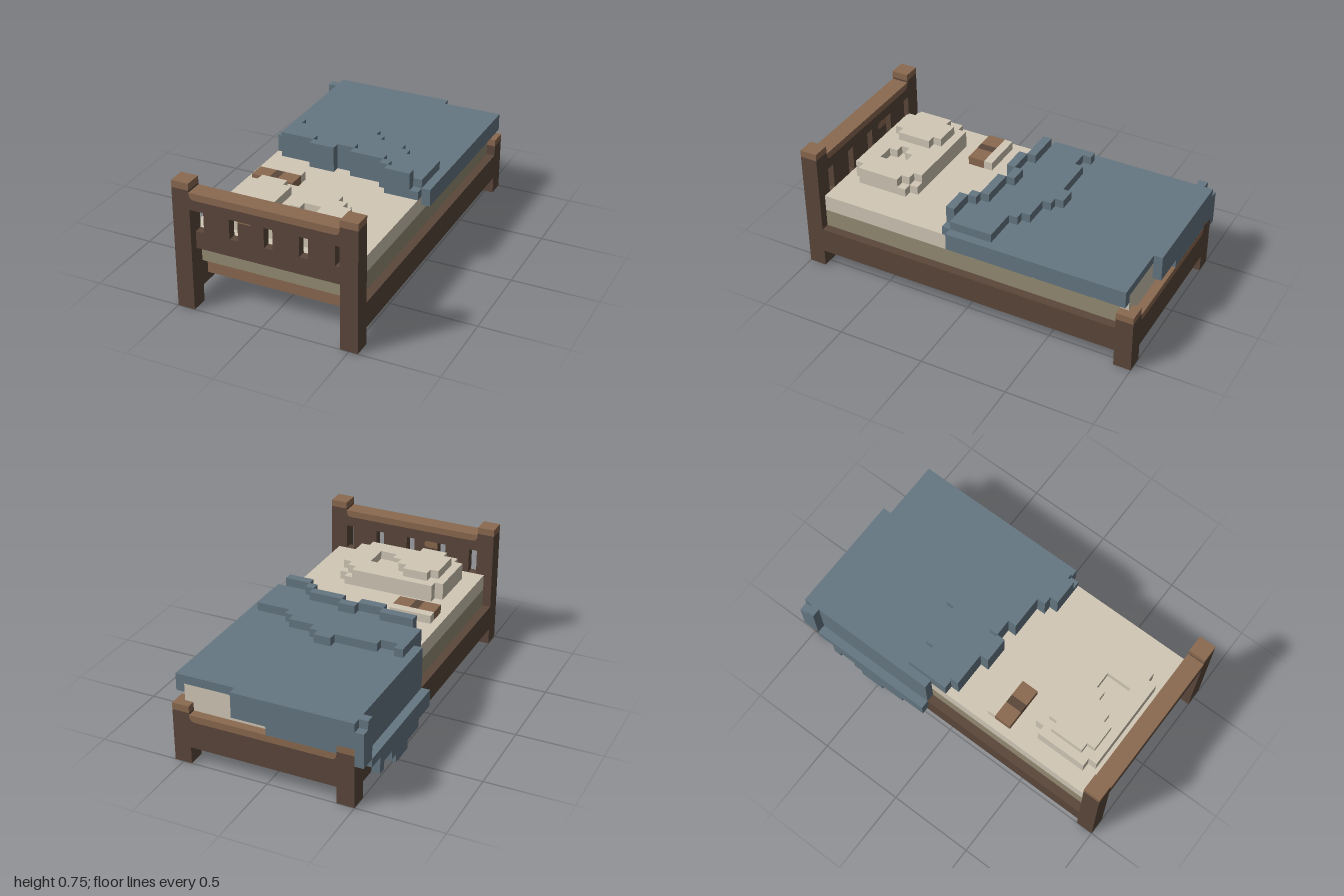
import * as THREE from 'three';

const mat = (name, color) => Object.assign(new THREE.MeshStandardMaterial({ color }), { name });

export function createModel() {
  const dark = mat('dark wood', 0x5b473b);
  const light = mat('light wood', 0x8b6a50);
  const cream = mat('cream linen', 0xd1c8b6);
  const olive = mat('mattress base', 0x958c73);
  const blue = mat('blue blanket', 0x657782);
  const bed = new THREE.Group();
  bed.name = 'bed';

  const add = (name, geo, material) => {
    const m = new THREE.Mesh(geo, material);
    m.name = name;
    bed.add(m);
    return m;
  };
  // Box given by its limits on each axis
  const box = (name, material, x0, x1, y0, y1, z0, z1) =>
    add(name, new THREE.BoxGeometry(x1 - x0, y1 - y0, z1 - z0), material)
      .position.set((x0 + x1) / 2, (y0 + y1) / 2, (z0 + z1) / 2);
  const toVecs = (pts) => pts.map(([x, y]) => new THREE.Vector2(x, y));
  // Flat slab with an x/z outline and optional hole
  const slab = (name, material, pts, y0, y1, hole) => {
    const s = new THREE.Shape(toVecs(pts));
    if (hole) s.holes.push(new THREE.Path(toVecs(hole)));
    const g = new THREE.ExtrudeGeometry(s, { depth: y1 - y0, bevelEnabled: false });
    g.rotateX(Math.PI / 2).translate(0, y1, 0);
    add(name, g, material);
  };
  // Light worn wood running through a board, a hair proud of it
  const worn = (name, shape, z0, z1) => {
    const g = new THREE.ExtrudeGeometry(shape, { depth: z1 - z0 + 0.001, bevelEnabled: false, curveSegments: 5 });
    add(name, g.translate(0, 0, z0 - 0.0005), light);
  };
  // Rail edge outline with rounded lower corners
  const edgeShape = (x0, x1, y0, y1, r) => {
    const s = new THREE.Shape();
    s.moveTo(x0, y1);
    s.quadraticCurveTo(x0, y0, x0 + r, y0);
    s.lineTo(x1 - r, y0);
    s.quadraticCurveTo(x1, y0, x1, y1);
    return s;
  };

  // Posts with light caps
  for (const [x0, x1] of [[-0.5, -0.4], [0.45, 0.55]]) {
    box('headPost', dark, x0, x1, 0, 0.71, 0.9, 1);
    box('headPostCap', light, x0, x1, 0.71, 0.75, 0.9, 1);
    box('footPost', dark, x0, x1, 0, 0.31, -1, -0.9);
    box('footPostCap', light, x0, x1, 0.31, 0.35, -1, -0.9);
  }

  // Headboard: thick top rail over a thinner slotted board
  box('headUpperRail', dark, -0.4, 0.45, 0.6, 0.699, 0.9, 1);
  worn('headRailEdge', edgeShape(-0.4, 0.45, 0.66, 0.7, 0.03), 0.9, 1);
  box('headLowerBoard', dark, -0.4, 0.45, 0.35, 0.45, 0.9, 0.95);
  for (let i = 0; i < 4; i++) {
    const x = -0.35 + i * 0.2;
    box('headPanel', dark, x, x + 0.15, 0.45, 0.6, 0.9, 0.95);
  }

  // Worn patch on one panel
  const patch = new THREE.Shape();
  patch.moveTo(-0.15, 0.56);
  patch.lineTo(-0.085, 0.56);
  patch.absarc(-0.085, 0.58, 0.02, -Math.PI / 2, Math.PI / 2);
  patch.lineTo(-0.15, 0.6);
  worn('wornPatch', patch, 0.9, 0.95);

  // Footboard
  box('footRail', dark, -0.4, 0.45, 0.1, 0.25, -1, -0.9);
  box('footBoard', dark, -0.4, 0.45, 0.25, 0.299, -1, -0.95);
  worn('footRailEdge', edgeShape(-0.4, 0.45, 0.26, 0.3, 0.03), -1, -0.95);

  // Side rails and upright slats
  box('sideRail', dark, -0.5, -0.4, 0.1, 0.25, -0.9, 0.9);
  box('sideRail', dark, 0.45, 0.55, 0.1, 0.25, -0.9, 0.9);
  for (let i = 0; i < 12; i++) {
    const z = 0.85 - i * 0.15;
    box('slat', light, -0.4, 0.45, 0.15, 0.25, z - 0.05, z);
  }

  // Mattress
  box('mattressBase', olive, -0.45, 0.5, 0.25, 0.355, -0.9, 0.9);
  box('mattressTop', cream, -0.45, 0.5, 0.355, 0.45, -0.9, 0.9);
  box('mattressEnd', cream, -0.45, 0.5, 0.25, 0.45, -0.95, -0.9);

  // Pillow: base, dented middle, raised lump
  slab('pillowBase', cream, [[-0.35, 0.5], [-0.3, 0.5], [-0.3, 0.45], [0.25, 0.45], [0.25, 0.5], [0.3, 0.5],
    [0.3, 0.8], [0.25, 0.8], [0.25, 0.85], [-0.3, 0.85], [-0.3, 0.8], [-0.35, 0.8]], 0.45, 0.5);
  slab('pillowMiddle', cream, [[-0.35, 0.5], [-0.3, 0.5], [-0.3, 0.45], [0.2, 0.45], [0.2, 0.5], [0.25, 0.5],
    [0.25, 0.55], [0.3, 0.55], [0.3, 0.8], [0.25, 0.8], [0.25, 0.85], [-0.3, 0.85], [-0.3, 0.8], [-0.35, 0.8]], 0.5, 0.55,
  [[0, 0.65], [0.05, 0.65], [0.05, 0.6], [0.15, 0.6], [0.15, 0.75], [0.05, 0.75], [0.05, 0.7], [0, 0.7]]);
  slab('pillowLump', cream, [[-0.3, 0.55], [-0.25, 0.55], [-0.25, 0.5], [-0.1, 0.5], [-0.1, 0.55], [-0.05, 0.55],
    [-0.05, 0.75], [-0.1, 0.75], [-0.1, 0.8], [-0.25, 0.8], [-0.25, 0.75], [-0.3, 0.75]], 0.55, 0.6);

  // Book lying on the mattress
  box('bookPages', cream, -0.4, -0.15, 0.45, 0.5, 0.2, 0.25);
  box('bookCover', light, -0.4, -0.3, 0.45, 0.5, 0.25, 0.35);
  box('bookBand', dark, -0.3, -0.25, 0.45, 0.5, 0.25, 0.35);
  box('bookCover', light, -0.25, -0.15, 0.45, 0.5, 0.25, 0.35);

  // Blanket top, its side edges and the foot drop
  box('blanketTop', blue, -0.5, 0.5, 0.45, 0.5, -0.95, -0.15);
  box('blanketLeftEdge', blue, 0.5, 0.55, 0.4, 0.5, -0.95, 0.1);
  box('blanketRightWall', blue, -0.5, -0.45, 0.25, 0.45, -0.95, -0.15);
  box('blanketFootDrop', blue, 0, 0.2, 0.35, 0.5, -1, -0.95);
  box('blanketFootDrop', blue, -0.5, 0, 0.3, 0.5, -1, -0.95);
  box('blanketCorner', blue, -0.55, -0.5, 0.25, 0.5, -0.95, -0.9);
  box('blanketCorner', blue, -0.55, -0.5, 0.25, 0.45, -1, -0.95);

  // Folded-back blanket end with a stepped back edge: x0, x1, z of the back edge
  const folds = [[-0.45, -0.4, -0.3], [-0.4, -0.3, -0.25], [-0.3, -0.05, -0.3], [-0.05, 0.05, -0.35],
    [0.05, 0.1, -0.3], [0.1, 0.25, -0.25], [0.25, 0.3, -0.2], [0.3, 0.5, -0.15]];
  for (const [x0, x1, z] of folds) box('blanketFold', blue, x0, x1, 0.5, 0.55, z, -0.05);

  // Front rim in steps: x0, x1, front z, top y
  const rims = [[-0.4, -0.2, 0, 0.6], [-0.2, -0.05, 0.05, 0.6], [-0.05, 0.05, 0, 0.6], [0.05, 0.25, 0.05, 0.6],
    [0.25, 0.3, 0.1, 0.6], [0.3, 0.45, 0.15, 0.6], [0.45, 0.5, 0.15, 0.5]];
  box('blanketFront', blue, -0.45, 0.5, 0.45, 0.5, -0.15, -0.05);
  for (const [x0, x1, z, top] of rims) {
    if (z > 0) box('blanketFront', blue, x0, x1, 0.45, 0.55, -0.05, z - 0.05);
    box('blanketRim', blue, x0, x1, 0.45, top, z - 0.05, z);
  }

  // Ragged hanging side: z0, z1, bottom y
  const hangs = [[-0.9, -0.8, 0.2], [-0.8, -0.75, 0.1], [-0.75, -0.65, 0.15], [-0.65, -0.6, 0.1],
    [-0.6, -0.45, 0.05], [-0.45, -0.3, 0.1], [-0.3, -0.15, 0.15]];
  for (const [z0, z1, y] of hangs) box('blanketHang', blue, -0.55, -0.5, y, 0.25, z0, z1);

  return bed;
}
